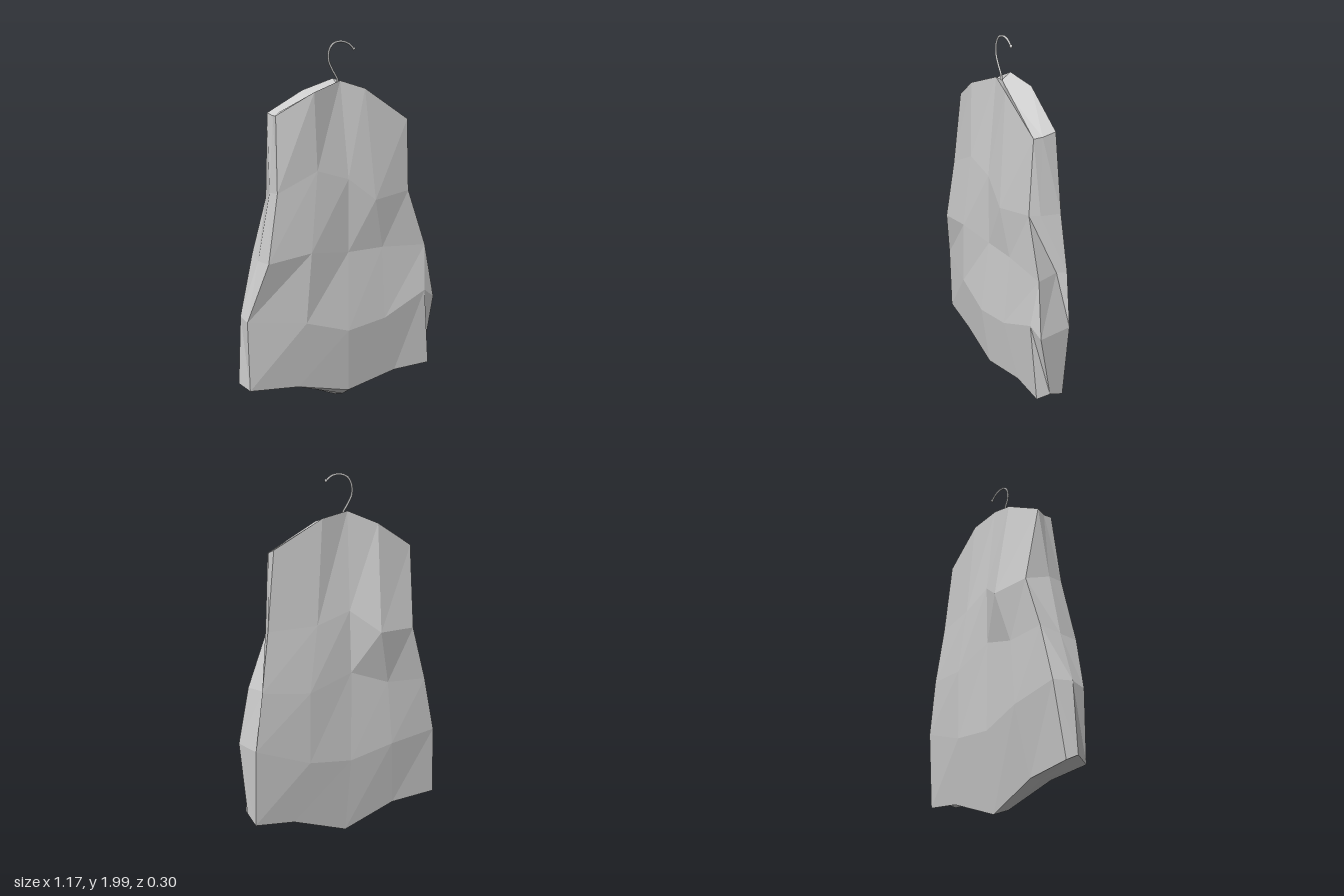
import * as THREE from 'three';

// Panel rows run top to bottom; each row holds [x, y, z] from -x to +x.
const front = [
  [[-0.385, 1.6, 0.065], [-0.18, 1.72, 0.1], [0, 1.785, 0.05], [0.14, 1.745, 0.075], [0.415, 1.58, 0.075]],
  [[-0.4, 1.2, 0.11], [-0.17, 1.31, 0.115], [0.02, 1.26, 0.11], [0.18, 1.14, 0.13], [0.415, 1.18, 0.095]],
  [[-0.465, 0.84, 0.138], [-0.22, 0.88, 0.145], [0.02, 0.86, 0.11], [0.24, 0.87, 0.105], [0.53, 0.86, 0.1]],
  [[-0.565, 0.53, 0.08], [-0.25, 0.5, 0.14], [0, 0.43, 0.152], [0.24, 0.47, 0.14], [0.51, 0.6, 0.135]],
  [[-0.555, 0.155, 0.08], [-0.28, 0.14, 0.1], [0.02, 0.075, 0.113], [0.33, 0.14, 0.1], [0.555, 0.155, 0.115]],
];
const back = [
  [[-0.39, 1.615, -0.035], [-0.17, 1.735, -0.065], [0, 1.8, -0.035], [0.16, 1.76, -0.065], [0.425, 1.6, -0.045]],
  [[-0.37, 1.16, -0.115], [-0.15, 1.15, -0.15], [0.01, 1.27, -0.085], [0.2, 1.2, -0.085], [0.47, 1.18, -0.06]],
  [[-0.46, 0.86, -0.1], [-0.22, 0.86, -0.1], [0, 0.93, -0.085], [0.25, 0.84, -0.1], [0.515, 0.86, -0.08]],
  [[-0.53, 0.55, -0.09], [-0.25, 0.5, -0.1], [0, 0.43, -0.085], [0.25, 0.45, -0.09], [0.555, 0.55, -0.08]],
  [[-0.56, 0.155, -0.05], [-0.29, 0.125, -0.04], [0.01, 0.005, -0.03], [0.33, 0.11, -0.045], [0.555, 0.13, -0.05]],
];
// Middle line of each side gusset
const sideRight = [[-0.38, 1.6, 0.015], [-0.405, 1.2, 0.02], [-0.475, 0.84, 0.02], [-0.572, 0.55, 0], [-0.588, 0.18, 0]];
const sideLeft = [[0.425, 1.585, 0.03], [0.445, 1.18, 0.045], [0.49, 0.86, -0.03], [0.585, 0.55, 0.115], [0.57, 0.17, 0.04]];

// Stitches pairs of rows into one faceted mesh; falling picks the diagonal of each quad.
function stitched(name, pairs, falling) {
  const pos = [];
  for (const [a, b] of pairs) {
    for (let i = 0; i < a.length - 1; i++) {
      const j = i + 1;
      pos.push(...(falling
        ? [a[i], b[i], b[j], a[i], b[j], a[j]]
        : [a[i], b[i], a[j], a[j], b[i], b[j]]).flat());
    }
  }
  const geo = new THREE.BufferGeometry();
  geo.setAttribute('position', new THREE.Float32BufferAttribute(pos, 3));
  geo.computeVertexNormals();
  const mesh = new THREE.Mesh(geo, new THREE.MeshStandardMaterial({
    color: 0xcccccc, flatShading: true, side: THREE.DoubleSide,
  }));
  mesh.name = name;
  return mesh;
}

const consecutive = (rows) => rows.slice(1).map((row, i) => [rows[i], row]);

export function createModel() {
  const group = new THREE.Group();
  group.name = 'garmentBag';

  // Crumpled cloth panels and side gussets
  group.add(stitched('frontPanel', consecutive(front), false));
  group.add(stitched('backPanel', consecutive(back.map((r) => [...r].reverse())), false));
  group.add(stitched('leftGusset', consecutive(front.map((f, i) => [f[4], sideLeft[i], back[i][4]])), true));
  group.add(stitched('rightGusset', consecutive(front.map((f, i) => [back[i][0], sideRight[i], f[0]])), true));

  // Shoulder seam, slightly sunken between the panels
  const seam = [sideRight[0], [-0.18, 1.7, 0.02], [0, 1.765, 0.015], [0.15, 1.705, 0.04], sideLeft[0]];
  group.add(stitched('shoulders', consecutive([back[0], seam, front[0]]), true));

  // Folded hem closing the bottom
  const fold = [sideRight[4], [-0.28, 0.135, 0.04], [0.01, 0.04, 0.065], [0.33, 0.13, 0.04], sideLeft[4]];
  group.add(stitched('bottomHem', consecutive([front[4], fold, back[4]]), true));

  // Wire hanger hook with a small rounded tip
  const metal = new THREE.MeshStandardMaterial({ color: 0xcccccc });
  const path = new THREE.CatmullRomCurve3([
    [0.003, 1.74], [0, 1.79], [-0.03, 1.84], [-0.053, 1.89], [-0.05, 1.945],
    [-0.025, 1.98], [0.02, 1.993], [0.065, 1.984], [0.1, 1.957],
  ].map(([x, y]) => new THREE.Vector3(x, y, 0.02)));
  const hook = new THREE.Mesh(new THREE.TubeGeometry(path, 32, 0.006, 6), metal);
  hook.name = 'hangerHook';
  const tip = new THREE.Mesh(new THREE.SphereGeometry(0.009, 8, 6), metal);
  tip.name = 'hookTip';
  tip.position.set(0.1, 1.957, 0.02);
  group.add(hook, tip);

  return group;
}
